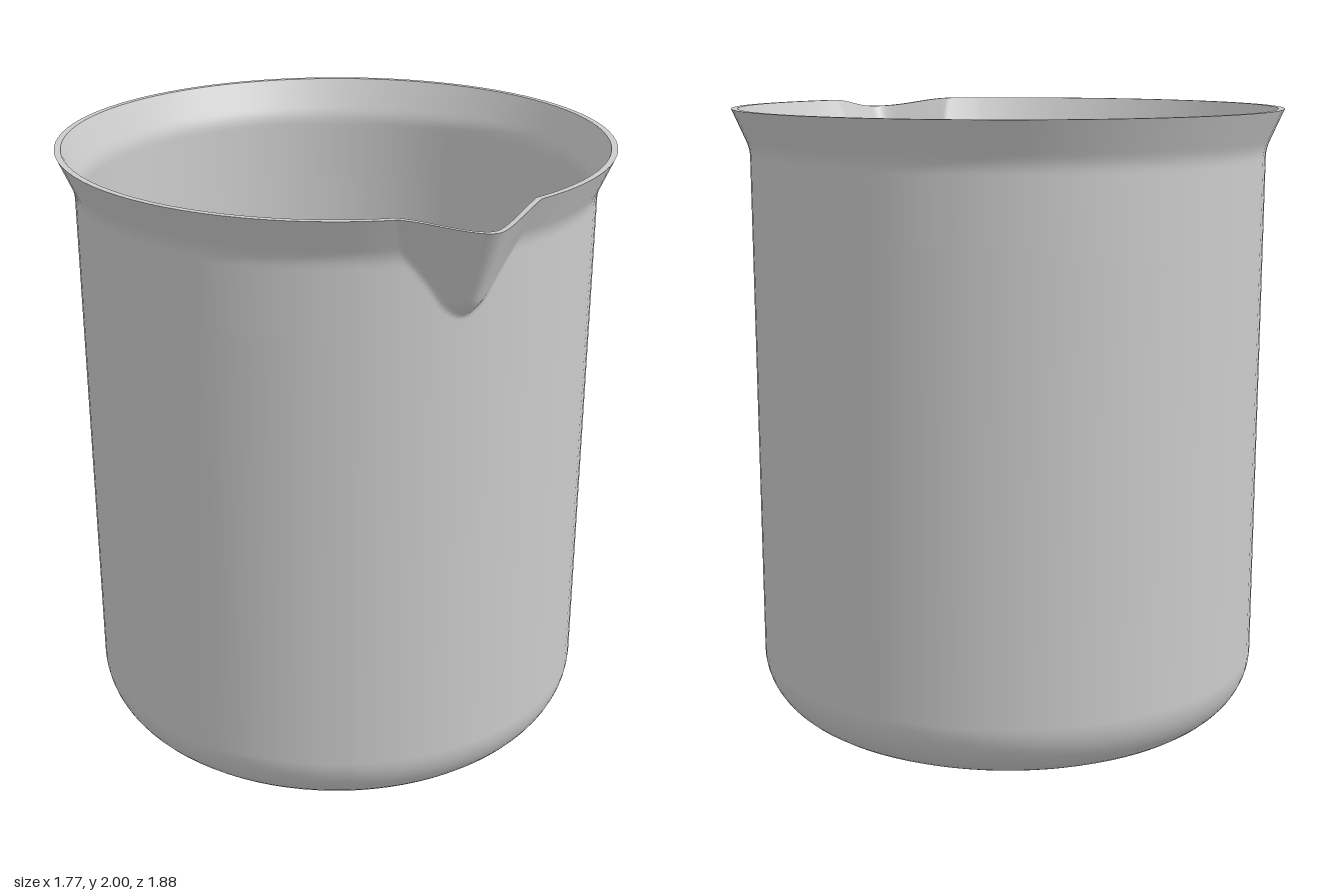
import * as THREE from 'three';

const BODY = 0.83, WALL = 0.02, FLAT = 0.63, HEIGHT = 2, CENTRE_Z = -0.055;
const SPOUT_ANGLE = 0.4;

// Angles round the vessel, packed closely across the spout (angle 0 is the front)
const angles = [];
for (let i = 0; i < 72; i++) angles.push(-SPOUT_ANGLE + (2 * SPOUT_ANGLE * i) / 72);
for (let i = 0; i < 80; i++) angles.push(SPOUT_ANGLE + ((2 * Math.PI - 2 * SPOUT_ANGLE) * i) / 80);

// Round body with a lip that flares out near the top
function bodyRadius(y) {
  const t = y - 1.85;
  if (t <= 0) return BODY;
  return t < 0.05 ? BODY + 4.4 * t * t : BODY + 0.011 + 0.44 * (t - 0.05);
}

// Pouring spout: a V with a rounded nose that narrows and recedes downwards
function spoutRadius(a, y) {
  if (Math.abs(a) > SPOUT_ANGLE || y < 1.64) return 0;
  const d = y - 1.74;
  const tip = 0.885 + 0.478 * d - (d < 0 ? 7.4 * d * d : 0);
  const nose = 0.03, slope = 0.8 + 0.8 * (HEIGHT - y);
  const A = tip + nose, c = Math.cos(a), k = A * A - nose * nose;
  const q = c * c - (slope * Math.sin(a)) ** 2;
  return k / (A * c + Math.sqrt(Math.max(0, A * A * c * c - q * k)));
}

// Point on the wall; the lip dips slightly at the spout
function wallPoint(a, y, inset) {
  if (y > 1.65 && Math.abs(a) < 0.28) {
    const dip = 0.015 * (1 + Math.cos((Math.PI * a) / 0.28));
    y -= (dip * (y - 1.65)) / 0.35;
  }
  return [Math.max(bodyRadius(y), spoutRadius(a, y)) - inset, y];
}

// Joins rings of points into a smooth closed skin; each row maps an angle to [radius, y]
function skin(name, rows, material) {
  const pos = [], index = [], n = angles.length;
  rows.forEach((row, i) => angles.forEach((a, j) => {
    const [r, y] = row(a);
    pos.push(r * Math.sin(a), y, r * Math.cos(a) + CENTRE_Z);
    if (i === rows.length - 1) return;
    const k = (j + 1) % n, p = i * n, q = p + n;
    index.push(p + j, p + k, q + k, p + j, q + k, q + j);
  }));
  const g = new THREE.BufferGeometry();
  g.setAttribute('position', new THREE.Float32BufferAttribute(pos, 3));
  g.setIndex(index);
  g.computeVertexNormals();
  const mesh = new THREE.Mesh(g, material);
  mesh.name = name;
  return mesh;
}

// Rows from the middle of the base, round the bottom curve and up to the lip
function vesselRows(inset) {
  const rows = [() => [0, inset], () => [FLAT - 0.03, inset]];
  const R = BODY - inset - FLAT;
  for (let i = 0; i <= 12; i++) {
    const t = (i / 12) * Math.PI / 2;
    rows.push(() => [FLAT + R * Math.sin(t), inset + R * (1 - Math.cos(t))]);
  }
  rows.push((a) => wallPoint(a, 1.6, inset));
  for (let i = 0; i <= 32; i++) {
    const y = 1.64 + (0.36 * i) / 32;
    rows.push((a) => wallPoint(a, y, inset));
  }
  return rows;
}

export function createModel() {
  const material = new THREE.MeshStandardMaterial({ color: 0xcccccc, side: THREE.DoubleSide });
  const group = new THREE.Group();
  group.name = 'beaker';
  group.add(
    skin('outerWall', vesselRows(0), material),
    skin('rim', [(a) => wallPoint(a, HEIGHT, 0), (a) => wallPoint(a, HEIGHT, WALL)], material),
    skin('innerWall', vesselRows(WALL).reverse(), material),
  );
  return group;
}
